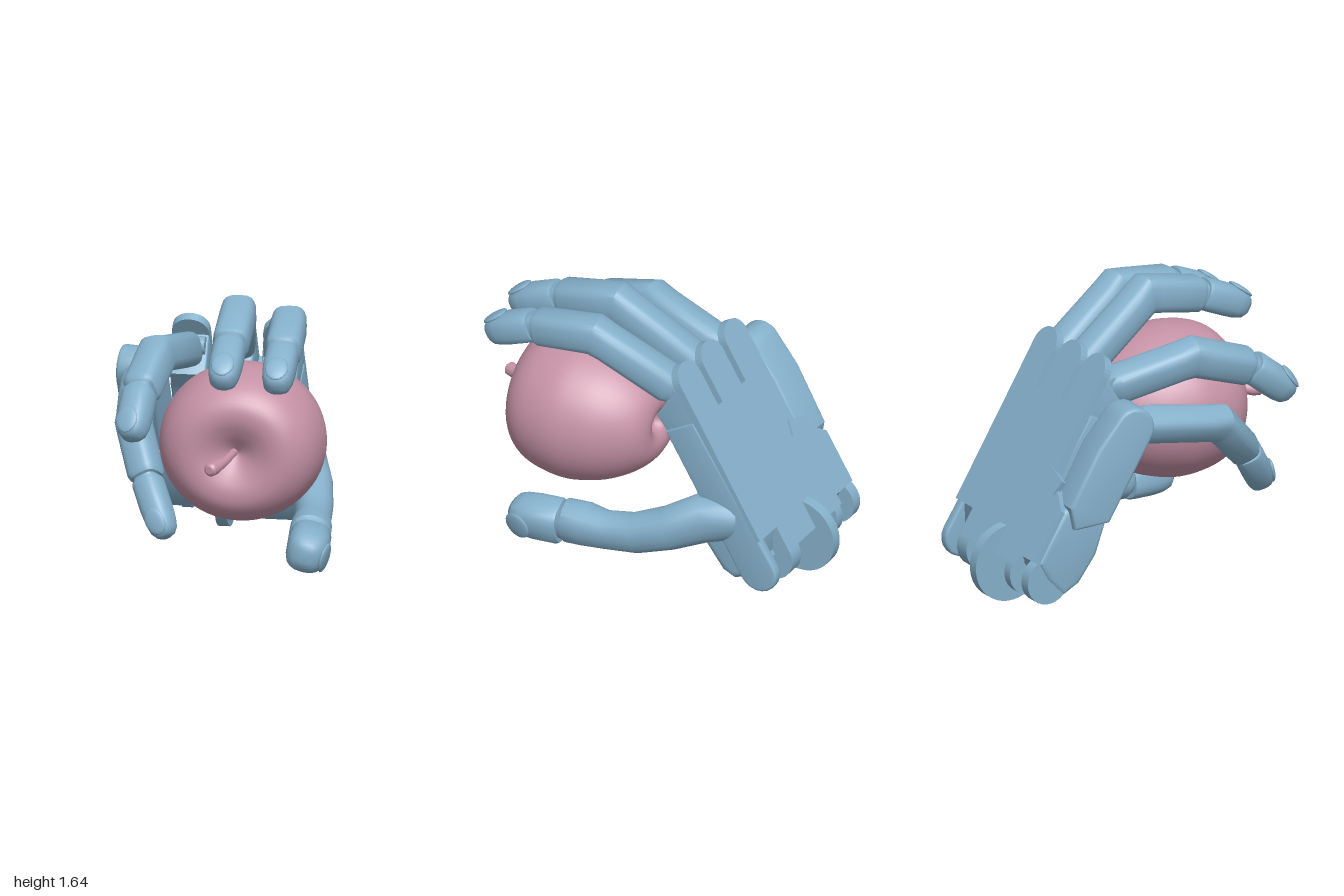
import * as THREE from 'three';
import { toCreasedNormals } from 'three/addons/utils/BufferGeometryUtils.js';

const V = (a) => new THREE.Vector3(...a);
const skin = new THREE.MeshStandardMaterial({ color: 0x85b0cb });
const fruit = new THREE.MeshStandardMaterial({ color: 0xc592a5 });

function add(parent, name, geometry, material = skin) {
  const mesh = new THREE.Mesh(geometry, material);
  mesh.name = name;
  parent.add(mesh);
  return mesh;
}

// Side and up axes for a direction
function frame(T, up) {
  const S = new THREE.Vector3().crossVectors(up, T).normalize();
  return [S, new THREE.Vector3().crossVectors(T, S)];
}

// Skin over stations [position, half width, half height]; power < 1 squares the section
function loft(rings, up, power = 0.65, sides = 20) {
  const pos = [], index = [];
  const end = rings.length - 1;
  const all = [[rings[0][0], 0.001, 0.001], ...rings, [rings[end][0], 0.001, 0.001]];
  const sq = (v) => Math.sign(v) * Math.pow(Math.abs(v), power);
  all.forEach(([p, w, h], i) => {
    const k = Math.min(Math.max(i - 1, 0), end);
    const T = new THREE.Vector3();
    if (k > 0) T.add(p.clone().sub(rings[k - 1][0]).normalize());
    if (k < end) T.add(rings[k + 1][0].clone().sub(p).normalize());
    const [S, N] = frame(T.normalize(), up);
    for (let j = 0; j < sides; j++) {
      const a = (j / sides) * Math.PI * 2;
      const q = p.clone().addScaledVector(S, w * sq(Math.cos(a))).addScaledVector(N, h * sq(Math.sin(a)));
      pos.push(q.x, q.y, q.z);
      if (i < all.length - 1) {
        const a0 = i * sides + j, b0 = i * sides + (j + 1) % sides;
        index.push(a0, b0, a0 + sides, b0, b0 + sides, a0 + sides);
      }
    }
  });
  const g = new THREE.BufferGeometry();
  g.setAttribute('position', new THREE.Float32BufferAttribute(pos, 3));
  g.setIndex(index);
  return toCreasedNormals(g, 0.6);
}

// Fingertip with a blunt end that droops slightly, and a long nail
function fingertip(group, a, b, w, h, up) {
  const T = b.clone().sub(a).normalize();
  const [S, N] = frame(T, up);
  const shape = [[0, 0.93], [0.06, 1], [0.5, 1], [0.72, 0.94], [0.87, 0.82], [0.96, 0.58], [1, 0.28]];
  add(group, 'fingertip', loft(shape.map(([t, s]) =>
    [a.clone().lerp(b, t).addScaledVector(N, -0.02 * t * t), w * s, h * s]), up, 0.75));
  const nail = add(group, 'nail', new THREE.SphereGeometry(1, 20, 12).scale(w * 0.7, 0.018, 0.08).rotateX(0.3));
  nail.quaternion.setFromRotationMatrix(new THREE.Matrix4().makeBasis(S, N, T));
  nail.position.copy(a).lerp(b, 0.76).addScaledVector(N, h * 0.92 - 0.016);
}

// Finger from knuckle, middle joint, end joint and tip
function finger(parent, name, points, up, s = 1) {
  const group = new THREE.Group();
  group.name = name;
  const [a, b, c, d] = points.map(V);
  const u = V(up), at = (p, q, t) => p.clone().lerp(q, t);
  add(group, 'lowerFinger', loft([
    [a, 0.075 * s, 0.08 * s], [at(a, b, 0.12), 0.105 * s, 0.1 * s], [at(a, b, 0.85), 0.1 * s, 0.1 * s],
    [b, 0.098 * s, 0.112 * s], [at(b, c, 0.15), 0.1 * s, 0.105 * s], [at(b, c, 0.88), 0.1 * s, 0.1 * s],
    [at(b, c, 0.95), 0.088 * s, 0.088 * s], [at(b, c, 0.96), 0.072 * s, 0.072 * s], [at(c, d, 0.1), 0.07 * s, 0.07 * s],
  ], u));
  fingertip(group, c, d, 0.092 * s, 0.092 * s, u);
  parent.add(group);
}

// Side profile of [depth, height] points, extruded across x
function slab(profile, x0, x1, b = 0.015) {
  const g = new THREE.ExtrudeGeometry(new THREE.Shape(profile.map((p) => new THREE.Vector2(...p))), {
    depth: x1 - x0 - 2 * b, bevelThickness: b, bevelSize: b, bevelOffset: -b, bevelSegments: 3,
  });
  return toCreasedNormals(g.rotateY(-Math.PI / 2).translate(x1 - b, 0, 0), 0.6);
}

function arc(cx, cy, r, from, to, n = 10) {
  return Array.from({ length: n + 1 }, (_, i) => {
    const a = from + (to - from) * i / n;
    return [cx + r * Math.cos(a), cy + r * Math.sin(a)];
  });
}

function makePalm() {
  const palm = new THREE.Group();
  palm.name = 'palm';
  // Tilted frame: y runs up the hand, z goes from its back towards the fruit
  palm.position.set(0, 1.38, -0.23);
  palm.rotation.x = 0.54;
  const knuckles = [0.25, -0.005, -0.26];

  // Back plate with three rounded knuckle guards
  const outline = [[-0.57, -1.2], [-0.4, -1.2], [-0.4, -1.26], [0.18, -1.26], [0.18, -1.1], [0.36, -1.1]];
  for (const x of knuckles) {
    outline.push([x + 0.105, -0.34], ...arc(x, -0.115, 0.105, 0, Math.PI, 14), [x - 0.105, -0.34]);
  }
  outline.push([-0.37, -0.72], [-0.57, -0.88]);
  const plate = new THREE.Shape(outline.map((p) => new THREE.Vector2(...p)));
  add(palm, 'backPlate', new THREE.ExtrudeGeometry(plate, { depth: 0.05, bevelEnabled: false }));

  // Body, with the thick pads at the base of the thumb and on the outer side
  add(palm, 'palmBody', slab([[0.02, -1.1], [0.12, -1.25], [0.2, -1.3], [0.27, -1.3], [0.28, -1.1], [0.28, -0.65],
    [0.23, -0.45], [0.24, -0.33], [0.04, -0.33]], -0.37, 0.31, 0.02));
  add(palm, 'thumbPad', slab([[0.1, -1.25], [0.25, -1.3], [0.35, -1.29], [0.4, -1.22], [0.42, -1.04], [0.37, -0.86],
    [0.27, -0.66], [0.1, -0.66]], -0.02, 0.31, 0.05));
  add(palm, 'thumbSideEdge', slab([...arc(0.125, -1.27, 0.12, Math.PI, Math.PI * 2), [0.25, -0.33], [0.04, -0.33]], 0.3, 0.36));
  add(palm, 'outerPad', slab([[0.02, -1.2], [0.12, -1.26], [0.27, -1.3], [0.33, -1.2], [0.35, -1.02], [0.31, -0.82],
    [0.1, -0.78], [0.02, -0.88]], -0.58, -0.3, 0.03));

  // Knuckle lugs and their pins
  for (const x of knuckles) {
    add(palm, 'knuckleLug', slab([[0.03, -0.36], [0.24, -0.36], [0.26, -0.23], [0.06, -0.13], [0.03, -0.13]], x - 0.103, x + 0.103));
    add(palm, 'knucklePin', new THREE.CylinderGeometry(0.05, 0.05, 0.18, 16).rotateZ(Math.PI / 2)).position.set(x, -0.14, 0.12);
  }

  // Folding outer section that carries the little finger
  const outer = add(palm, 'outerPalm', slab([[0.05, -0.86], [0.14, -0.96], [0.31, -0.84], [0.31, -0.5],
    ...arc(0.19, -0.31, 0.12, 0, Math.PI), [0.04, -0.5]], -0.11, 0.11, 0.02));
  outer.position.set(-0.525, 0.02, -0.02);
  outer.rotation.set(0, -0.12, 0.02);
  const flap = add(palm, 'hingeFlap', new THREE.BoxGeometry(0.17, 0.09, 0.03));
  flap.position.set(-0.38, -0.75, 0.005);
  flap.rotation.z = 0.3;

  // Wrist hinge tabs
  for (const [x, w] of [[-0.535, 0.07], [-0.35, 0.06], [0.13, 0.1]]) {
    add(palm, 'wristTab', new THREE.CylinderGeometry(0.135, 0.135, w, 28).rotateZ(Math.PI / 2)).position.set(x, -1.26, 0.135);
  }
  // Large wrist disc
  add(palm, 'wristDisc', new THREE.CylinderGeometry(0.223, 0.223, 0.065, 40).rotateZ(Math.PI / 2)).position.set(-0.145, -1.273, 0.133);
  return palm;
}

function makeThumb() {
  const thumb = new THREE.Group();
  thumb.name = 'thumb';
  const up = V([1, -0.25, 0]);
  const stations = [
    [[0.2, 0.44, -0.61], 0.1, 0.09], [[0.28, 0.48, -0.55], 0.14, 0.12], [[0.35, 0.475, -0.43], 0.14, 0.12],
    [[0.42, 0.39, -0.25], 0.12, 0.115], [[0.46, 0.32, -0.06], 0.112, 0.105], [[0.48, 0.295, 0.12], 0.108, 0.1],
    [[0.49, 0.3, 0.24], 0.122, 0.115], [[0.5, 0.295, 0.35], 0.122, 0.115], [[0.505, 0.29, 0.38], 0.1, 0.1], [[0.51, 0.285, 0.43], 0.09, 0.09],
  ];
  add(thumb, 'lowerThumb', loft(stations.map(([p, w, h]) => [V(p), w, h]), up, 0.85));
  fingertip(thumb, V([0.505, 0.28, 0.385]), V([0.545, 0.265, 0.69]), 0.122, 0.118, up);
  return thumb;
}

function makeApple() {
  const apple = new THREE.Group();
  apple.name = 'apple';
  const profile = [[0, 0.04], [0.04, 0.025], [0.08, -0.025], [0.15, -0.045], [0.24, -0.015], [0.33, 0.075], [0.405, 0.2], [0.45, 0.34],
    [0.463, 0.46], [0.44, 0.61], [0.39, 0.71], [0.31, 0.775], [0.22, 0.787], [0.13, 0.757], [0.05, 0.71], [0, 0.68]];
  const curve = new THREE.SplineCurve(profile.map((p) => new THREE.Vector2(...p)));
  const points = curve.getPoints(60).map((p) => p.setX(Math.max(p.x, 0)));
  const body = add(apple, 'appleBody', new THREE.LatheGeometry(points, 64).rotateX(Math.PI / 2), fruit);
  body.scale.y = 0.945;
  body.position.set(0.145, 0.857, 0);
  // Curved stem, thicker at its end
  const stem = [[[0.135, 0.86, 0.6], 0.025], [[0.125, 0.86, 0.75], 0.022], [[0.1, 0.85, 0.86], 0.026],
    [[0.06, 0.84, 0.95], 0.038], [[0.045, 0.84, 0.985], 0.038], [[0.04, 0.84, 1], 0.022]];
  add(apple, 'stem', loft(stem.map(([p, r]) => [V(p), r, r]), V([0, 1, 0]), 1), fruit);
  return apple;
}

export function createModel() {
  const model = new THREE.Group();
  model.name = 'handHoldingApple';
  model.add(makePalm(), makeThumb(), makeApple());
  finger(model, 'indexFinger', [[0.25, 1.19, -0.22], [0.37, 1.47, 0.25], [0.395, 1.425, 0.63], [0.4, 1.32, 0.92]], [0, 1, 0]);
  finger(model, 'middleFinger', [[0, 1.2, -0.22], [0.09, 1.525, 0.27], [0.1, 1.45, 0.64], [0.1, 1.335, 0.94]], [0, 1, 0]);
  finger(model, 'ringFinger', [[-0.27, 1.17, -0.2], [-0.36, 1.285, 0.3], [-0.4, 1.17, 0.66], [-0.42, 0.985, 0.91]], [-0.25, 1, 0]);
  finger(model, 'littleFinger', [[-0.53, 1.03, -0.18], [-0.475, 0.91, 0.4], [-0.36, 0.66, 0.65], [-0.23, 0.4, 0.85]], [-0.5, 0.8, 0], 0.93);
  return model;
}
